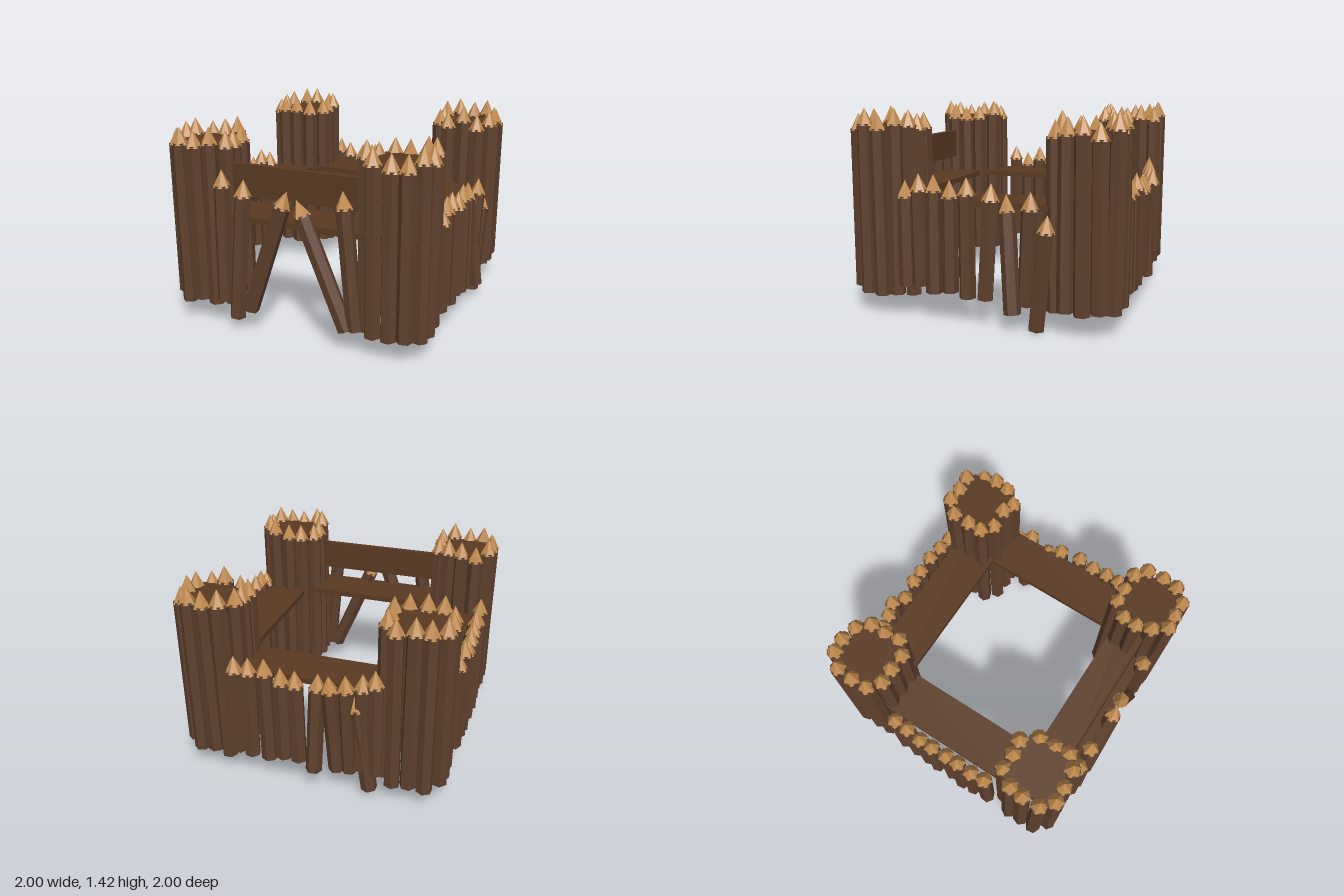
import * as THREE from 'three';

const mat = (color) => new THREE.MeshStandardMaterial({ color, flatShading: true });
const logMat = mat(0x5f412e);
const tipMat = mat(0xc08a4e);
const plankMat = mat(0x5a3a22);
const R = 0.057;
const TIP = 0.12;

// small seeded generator for the rough, hand-cut look
function seeded(seed) {
  let s = seed;
  return () => (s = (s * 16807) % 2147483647) / 2147483647;
}

export function createModel() {
  const model = new THREE.Group();
  model.name = 'woodenFort';
  const rnd = seeded(4711);
  const jitter = (a) => (rnd() - 0.5) * 2 * a;
  const up = new THREE.Vector3(0, 1, 0);

  // sharpened six-sided log running from its foot to its point
  function stake(parent, name, foot, point) {
    const a = new THREE.Vector3(...foot);
    const dir = new THREE.Vector3(...point).sub(a);
    const len = dir.length();
    const g = new THREE.Group();
    g.name = name;
    const log = new THREE.Mesh(new THREE.CylinderGeometry(R, R, len - TIP + 0.012, 6), logMat);
    log.name = 'log';
    log.position.y = (len - TIP + 0.012) / 2;
    const tip = new THREE.Mesh(new THREE.ConeGeometry(R + 0.004, TIP, 6), tipMat);
    tip.name = 'sharpenedTip';
    tip.position.y = len - TIP / 2;
    tip.rotation.y = Math.PI / 6;
    const spin = new THREE.Quaternion().setFromAxisAngle(up, rnd() * Math.PI);
    g.quaternion.setFromUnitVectors(up, dir.normalize()).multiply(spin);
    g.position.copy(a);
    g.add(log, tip);
    parent.add(g);
  }

  // box given by its limits on each axis
  function plank(parent, name, [x0, x1], [y0, y1], [z0, z1]) {
    const m = new THREE.Mesh(new THREE.BoxGeometry(x1 - x0, y1 - y0, z1 - z0), plankMat);
    m.name = name;
    m.position.set((x0 + x1) / 2, (y0 + y1) / 2, (z0 + z1) / 2);
    parent.add(m);
  }

  // corner towers: three stakes on each side around a raised floor
  const towers = {
    backRightTower: [-0.695, -0.68],
    backLeftTower: [0.72, -0.695],
    frontRightTower: [-0.735, 0.71],
    frontLeftTower: [0.69, 0.735],
  };
  for (const [name, [cx, cz]] of Object.entries(towers)) {
    const tower = new THREE.Group();
    tower.name = name;
    for (let side = 0; side < 4; side++) {
      const c = Math.round(Math.cos(side * Math.PI / 2));
      const s = Math.round(Math.sin(side * Math.PI / 2));
      for (const t of [-0.115, -0.005, 0.105]) {
        const d = 0.193 + jitter(0.008);
        const x = cx + c * d - s * t;
        const z = cz + s * d + c * t;
        stake(tower, 'towerStake', [x, 0.15 + jitter(0.02), z],
          [x + jitter(0.01), 1.4 + jitter(0.03), z + jitter(0.01)]);
      }
    }
    plank(tower, 'towerFloor', [cx - 0.17, cx + 0.17], [1.25, 1.29], [cz - 0.17, cz + 0.17]);
    model.add(tower);
  }

  // upright wall stakes: [x, z]
  const walls = {
    rightWall: [[-0.91, -0.38], [-0.92, -0.26], [-0.93, -0.15], [-0.93, -0.04],
      [-0.93, 0.08], [-0.93, 0.18], [-0.93, 0.29], [-0.93, 0.4]],
    leftWall: [[0.9, 0.53], [0.9, 0.43], [0.9, 0.32], [0.91, 0.2], [0.91, 0.08]],
    backWall: [[-0.46, -0.87], [-0.38, -0.88], [0.07, -0.92], [0.17, -0.92],
      [0.29, -0.91], [0.41, -0.9], [0.52, -0.89]],
  };
  const groups = {};
  for (const [name, spots] of Object.entries(walls)) {
    const wall = groups[name] = new THREE.Group();
    wall.name = name;
    for (const [x, z] of spots) {
      stake(wall, 'wallStake', [x + jitter(0.008), 0.21 + jitter(0.03), z + jitter(0.008)],
        [x, 0.98 + jitter(0.04), z]);
    }
    model.add(wall);
  }

  // broken, leaning stakes: foot, point
  const leaning = {
    leftWall: [
      [[0.92, 0.19, -0.05], [0.9, 0.96, -0.09]],
      [[0.95, 0.12, -0.25], [0.87, 0.89, -0.18]],
      [[0.89, 0.17, -0.32], [0.91, 0.92, -0.36]],
      [[0.885, 0.01, -0.39], [0.92, 0.78, -0.475]],
    ],
    backWall: [
      [[-0.43, 0.07, -0.87], [-0.33, 0.82, -0.89]],
      [[-0.29, 0.19, -0.87], [-0.27, 0.96, -0.91]],
      [[-0.2, 0.19, -0.88], [-0.17, 0.96, -0.95]],
      [[-0.05, 0.18, -0.93], [-0.08, 0.93, -0.89]],
    ],
  };
  for (const [name, list] of Object.entries(leaning)) {
    for (const [foot, point] of list) stake(groups[name], 'leaningStake', foot, point);
  }

  // gateway: crossed stakes beneath a breastwork board
  const gate = new THREE.Group();
  gate.name = 'gateway';
  const gateStakes = [
    [[-0.53, 0.2, 0.92], [-0.52, 1.14, 0.91]],
    [[-0.43, 0.09, 0.93], [-0.35, 1.09, 0.91]],
    [[-0.32, 0.17, 0.93], [-0.02, 1.05, 0.92]],
    [[0.4, 0.16, 0.93], [0.04, 1.0, 0.91]],
    [[0.46, 0.17, 0.92], [0.37, 1.1, 0.91]],
  ];
  for (const [foot, point] of gateStakes) stake(gate, 'gateStake', foot, point);
  plank(gate, 'breastworkBoard', [-0.56, 0.52], [0.95, 1.17], [0.79, 0.83]);
  model.add(gate);

  // walkways behind the walls
  const walk = new THREE.Group();
  walk.name = 'walkways';
  const level = [0.79, 0.83];
  plank(walk, 'backWalkway', [-0.85, 0.87], level, [-0.82, -0.5]);
  plank(walk, 'frontWalkway', [-0.85, 0.87], level, [0.58, 0.9]);
  plank(walk, 'rightWalkway', [-0.86, -0.54], level, [-0.5, 0.58]);
  plank(walk, 'leftWalkway', [0.55, 0.87], level, [-0.5, 0.58]);
  model.add(walk);

  return model;
}
